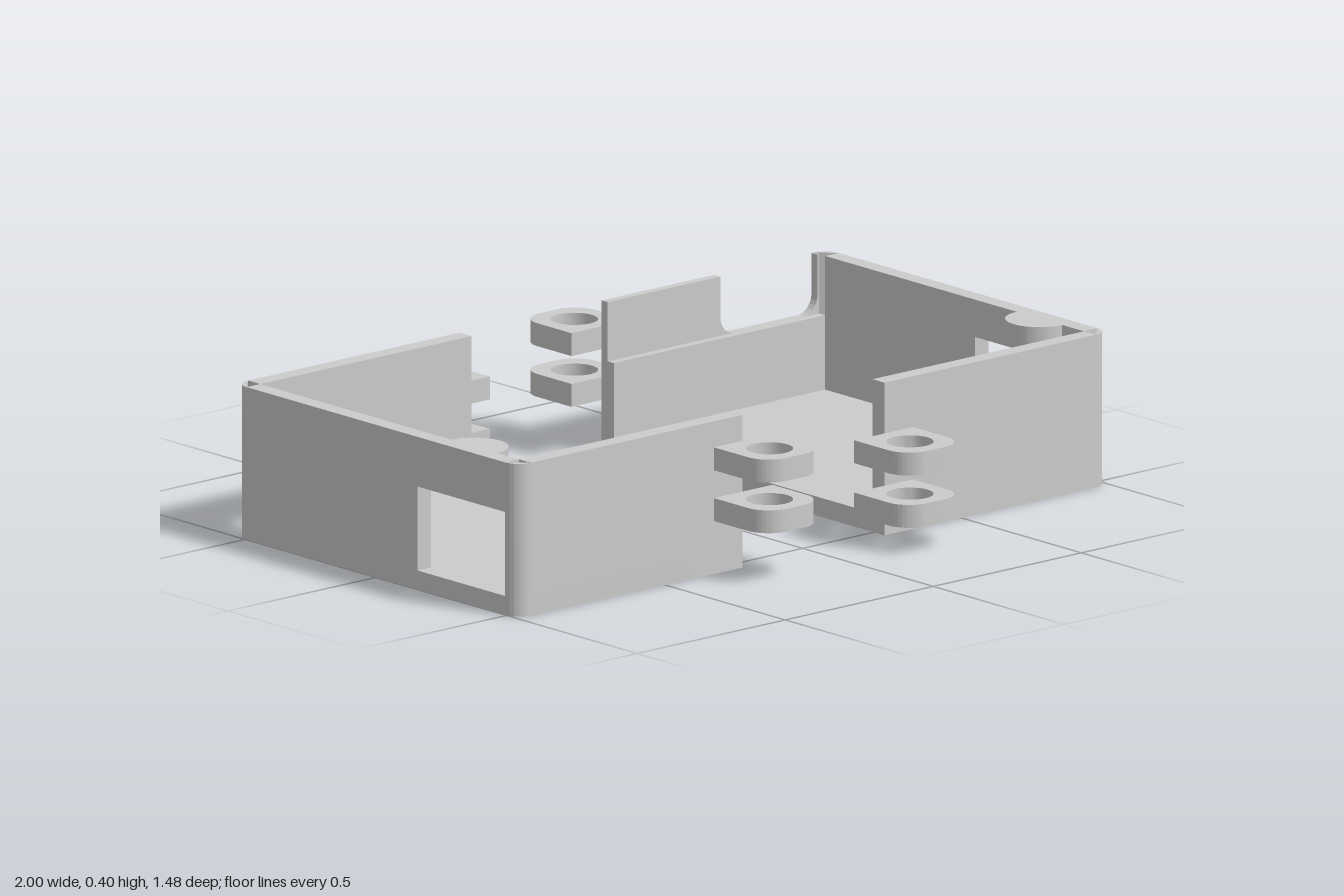
import * as THREE from 'three';
import { toCreasedNormals } from 'three/addons/utils/BufferGeometryUtils.js';

const material = new THREE.MeshStandardMaterial({ color: 0xcccccc });
const H = 0.4, FLOOR = 0.05, T = 0.046;   // height, floor and wall thickness
const X0 = 0.24, X1 = 1, Z = 0.541;       // open end, closed end, half depth
const XI = X1 - T, ZI = Z - T;            // inner faces

const poly = (pts) => new THREE.Shape(pts.map(([a, b]) => new THREE.Vector2(a, b)));

// Extrude a shape along an axis, starting at a given coordinate
// x: drawn in (-z, y)   y: drawn in (x, -z)   z: drawn in (x, y)
function slab(name, shape, axis, start, depth) {
  let g = new THREE.ExtrudeGeometry(shape, { depth, bevelEnabled: false, curveSegments: 16 });
  g.translate(0, 0, start);
  if (axis === 'x') g.rotateY(Math.PI / 2);
  if (axis === 'y') g.rotateX(-Math.PI / 2);
  g = toCreasedNormals(g, 0.6);
  const mesh = new THREE.Mesh(g, material);
  mesh.name = name;
  return mesh;
}

// Floor plate with the two closed corners rounded
function floorShape(s) {
  const p = new THREE.Shape();
  p.moveTo(s * X0, -Z);
  p.lineTo(s * XI, -Z);
  p.absarc(s * XI, -ZI, T, -Math.PI / 2, s > 0 ? 0 : -Math.PI, s < 0);
  p.lineTo(s * X1, ZI);
  p.absarc(s * XI, ZI, T, s > 0 ? 0 : Math.PI, Math.PI / 2, s < 0);
  p.lineTo(s * X0, Z);
  p.closePath();
  return p;
}

// Quarter-round post at a closed corner
function cornerShape(s, v) {
  const p = new THREE.Shape();
  const a = Math.atan2(v, s) - Math.PI / 4;
  p.moveTo(s * XI, v * ZI);
  p.absarc(s * XI, v * ZI, T, a, a + Math.PI / 2, false);
  p.closePath();
  return p;
}

// Rounded hinge eye with a pin hole; v is the drawn side (-z)
function eyeShape(s, v) {
  const c = s * 0.237, w = 0.099, r = 0.07, end = v * 0.742, near = v * Z;
  const p = new THREE.Shape();
  p.moveTo(c - w, near);
  p.lineTo(c - w, end - v * r);
  p.absarc(c - w + r, end - v * r, r, Math.PI, v * Math.PI / 2, v > 0);
  p.lineTo(c + w - r, end);
  p.absarc(c + w - r, end - v * r, r, v * Math.PI / 2, 0, v > 0);
  p.lineTo(c + w, near);
  p.closePath();
  p.holes.push(new THREE.Path().absarc(c, v * 0.642, 0.06, 0, Math.PI * 2, false));
  return p;
}

// Back wall of the left tray: thin rim with a filleted notch, thick lower part
function notchedWall(group) {
  const ledge = 0.245, r = 0.05, n0 = 0.62, n1 = 0.948;
  const rim = new THREE.Shape();
  rim.moveTo(X0, FLOOR);
  rim.lineTo(XI, FLOOR);
  rim.lineTo(XI, H);
  rim.lineTo(n1, H);
  rim.lineTo(n1, ledge + r);
  rim.absarc(n1 - r, ledge + r, r, 0, -Math.PI / 2, true);
  rim.lineTo(n0 + r, ledge);
  rim.absarc(n0 + r, ledge + r, r, -Math.PI / 2, -Math.PI, true);
  rim.lineTo(n0, H);
  rim.lineTo(X0, H);
  rim.closePath();
  group.add(slab('notchedRim', rim, 'z', -Z, T / 2));
  const low = poly([[X0, FLOOR], [XI, FLOOR], [XI, ledge], [X0, ledge]]);
  group.add(slab('backLedge', low, 'z', -Z + T / 2, T / 2));
}

function tray(s, name, windowZ, windowTop) {
  const g = new THREE.Group();
  g.name = name;
  g.add(slab('floor', floorShape(s), 'y', 0, FLOOR));
  for (const v of [1, -1]) g.add(slab('cornerPost', cornerShape(s, v), 'y', FLOOR, H - FLOOR));

  // Front wall
  const wall = poly([[s * X0, FLOOR], [s * XI, FLOOR], [s * XI, H], [s * X0, H]]);
  g.add(slab('frontWall', wall, 'z', ZI, T));

  // Back wall
  if (s > 0) notchedWall(g);
  else {
    const back = poly([[-XI, FLOOR], [-0.9, FLOOR], [-0.9, 0.195], [-0.7, 0.195],
      [-0.7, FLOOR], [-X0, FLOOR], [-X0, H], [-XI, H]]);
    g.add(slab('backWallWithPort', back, 'z', -Z, T));
  }

  // End wall with a window next to the front corner
  const side = poly([[ZI, FLOOR], [ZI, H], [-ZI, H], [-ZI, windowTop],
    [-windowZ, windowTop], [-windowZ, FLOOR]]);
  g.add(slab('endWallWithWindow', side, 'x', s > 0 ? XI : -X1, T));

  // Half-round tab under the rim
  const tab = new THREE.Shape();
  const a = s > 0 ? Math.PI / 2 : -Math.PI / 2;
  tab.absarc(s * XI, -0.325, 0.087, a, a + Math.PI, false);
  tab.closePath();
  g.add(slab('rimTab', tab, 'y', H - 0.06, 0.06));

  // Hinge eyes interleave with those of the other tray
  const levels = [0.07, 0.139, 0.207, 0.272];
  for (const v of [1, -1]) {
    const first = s * v < 0 ? 0 : 1;
    for (const i of [first, first + 2]) g.add(slab('hingeEye', eyeShape(s, v), 'y', levels[i], 0.06));
  }
  return g;
}

export function createModel() {
  const model = new THREE.Group();
  model.name = 'hingedCase';
  model.add(tray(1, 'leftTray', 0.078, 0.302));
  model.add(tray(-1, 'rightTray', 0.16, 0.27));
  return model;
}
